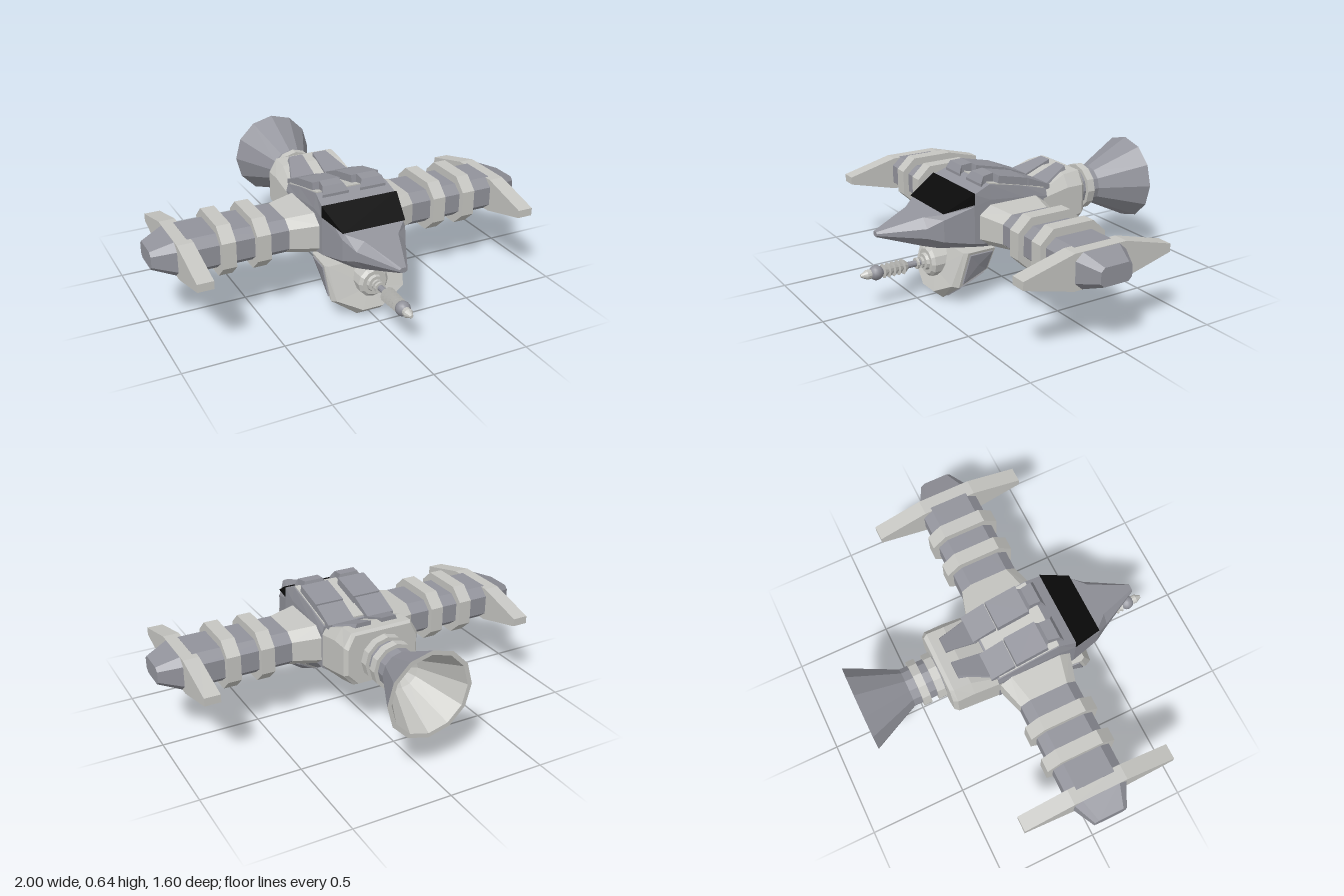
import * as THREE from 'three';

const light = new THREE.MeshStandardMaterial({ color: 0xc6c6c2 });
light.name = 'light grey';
const mid = new THREE.MeshStandardMaterial({ color: 0x92939b });
mid.name = 'mid grey';
const black = new THREE.MeshStandardMaterial({ color: 0x0a0a0a });
black.name = 'black glass';

// Flat-faced skin through rings of points, turned outward (or inward)
function loft(rings, { caps = true, inward = false } = {}) {
  const V = rings.map(r => r.map(p => new THREE.Vector3(...p)));
  const n = V[0].length, tris = [];
  for (let i = 0; i < V.length - 1; i++) {
    for (let j = 0; j < n; j++) {
      const k = (j + 1) % n;
      tris.push([V[i][j], V[i][k], V[i + 1][k]], [V[i][j], V[i + 1][k], V[i + 1][j]]);
    }
  }
  const mean = list => list.reduce((s, p) => s.add(p), new THREE.Vector3()).divideScalar(list.length);
  if (caps) {
    const a = V[0], b = V[V.length - 1], ca = mean(a), cb = mean(b);
    for (let j = 0; j < n; j++) {
      const k = (j + 1) % n;
      tris.push([ca, a[k], a[j]], [cb, b[j], b[k]]);
    }
  }
  const c = mean(V.flat());
  let volume = 0;
  for (const [p, q, r] of tris) {
    volume += p.clone().sub(c).dot(q.clone().sub(c).cross(r.clone().sub(c)));
  }
  if ((volume < 0) !== inward) tris.forEach(t => t.reverse());
  const geo = new THREE.BufferGeometry().setFromPoints(tris.flat());
  geo.computeVertexNormals();
  return geo;
}

// Hull section: top, upper side, lower side and bottom corners
const hullRing = ([z, tw, ty, mw, uy, ly, bw, by]) => [
  [tw, ty, z], [mw, uy, z], [mw, ly, z], [bw, by, z],
  [-bw, by, z], [-mw, ly, z], [-mw, uy, z], [-tw, ty, z]];

// Chamfered rectangle across the wing at a given x
function octagon(x, hz, hy, cz, cy) {
  const Z = 0.06, Y = 0.39;
  return [[hz, hy - cy], [hz - cz, hy], [cz - hz, hy], [-hz, hy - cy],
    [-hz, cy - hy], [cz - hz, -hy], [hz - cz, -hy], [hz, cy - hy]].map(([z, y]) => [x, Y + y, Z + z]);
}

// Round section about a fore-and-aft axis
const circle = (z, r, y, n = 12) => Array.from({ length: n }, (_, i) => {
  const a = i / n * Math.PI * 2;
  return [Math.sin(a) * r, y + Math.cos(a) * r, z];
});

// Side profile of [z, y] points stretched from x0 to x1
const slab = (x0, x1, profile) => loft([x0, x1].map(x => profile.map(([z, y]) => [x, y, z])));

// Thin plate inset on a four-cornered face, raised away from the point ref
function plate(corners, ref, inset = 0.82, lift = 0.007) {
  const P = corners.map(p => new THREE.Vector3(...p));
  const c = P.reduce((s, p) => s.add(p), new THREE.Vector3()).divideScalar(4);
  const nrm = P[2].clone().sub(P[0]).cross(P[3].clone().sub(P[1])).normalize();
  if (nrm.dot(c.clone().sub(new THREE.Vector3(...ref))) < 0) nrm.negate();
  return loft([-0.002, lift].map(h => P.map(p =>
    p.clone().sub(c).multiplyScalar(inset).add(c).addScaledVector(nrm, h).toArray())));
}

export function createModel() {
  const model = new THREE.Group();
  model.name = 'spacecraft';
  const add = (name, geo, mat, parent = model) => {
    const mesh = new THREE.Mesh(geo, mat);
    mesh.name = name;
    parent.add(mesh);
  };

  // Hull, windscreen and rear block
  add('hull', loft([
    [0.71, 0.012, 0.4, 0.02, 0.392, 0.383, 0.012, 0.375],
    [0.5, 0.09, 0.457, 0.13, 0.41, 0.36, 0.08, 0.308],
    [0.43, 0.155, 0.475, 0.168, 0.45, 0.34, 0.11, 0.292],
    [0.28, 0.198, 0.56, 0.2, 0.5, 0.31, 0.14, 0.275],
    [0.19, 0.19, 0.595, 0.2, 0.52, 0.295, 0.15, 0.26],
    [0, 0.19, 0.555, 0.2, 0.5, 0.29, 0.16, 0.25],
    [-0.14, 0.19, 0.515, 0.2, 0.48, 0.29, 0.17, 0.27],
  ].map(hullRing)), mid);
  add('windscreen', loft([-1, 1].map(s => [
    [s * 0.166, 0.482, 0.432], [s * 0.203, 0.567, 0.279], [s * 0.203, 0.51, 0.279]])), black);
  add('rearBlock', loft([
    [-0.12, 0.18, 0.5, 0.2, 0.47, 0.3, 0.17, 0.268],
    [-0.27, 0.16, 0.56, 0.2, 0.5, 0.33, 0.16, 0.28],
    [-0.36, 0.16, 0.568, 0.2, 0.5, 0.35, 0.15, 0.292],
    [-0.38, 0.15, 0.56, 0.185, 0.49, 0.36, 0.13, 0.302],
  ].map(hullRing)), light);
  add('roofPlate', slab(-0.185, 0.185,
    [[0.19, 0.59], [0.19, 0.601], [-0.13, 0.525], [-0.13, 0.51]]), light);

  for (const s of [-1, 1]) {
    // Roof pods
    const pods = new THREE.Group();
    pods.name = s > 0 ? 'leftRoofPods' : 'rightRoofPods';
    model.add(pods);
    add('podCap', loft([[0.225, 0.17, 0.03, 0.595], [0.205, 0.16, 0.05, 0.63], [0.145, 0.15, 0.05, 0.635], [0.135, 0.17, 0.03, 0.6]]
      .map(([z, a, b, y]) => [[s * a, y, z], [s * b, y, z], [s * b, 0.575, z], [s * a, 0.575, z]])), mid, pods);
    add('frontPod', slab(s * 0.03, s * 0.18,
      [[0.14, 0.57], [0.13, 0.625], [-0.035, 0.587], [-0.035, 0.53]]), mid, pods);
    add('middlePod', slab(s * 0.035, s * 0.18,
      [[-0.043, 0.53], [-0.043, 0.583], [-0.17, 0.53], [-0.17, 0.5]]), mid, pods);
    add('rearPod', loft([[-0.15, 0.18, 0.49, 0.524], [-0.315, 0.12, 0.55, 0.586]].map(([z, a, lo, hi]) =>
      [[s * 0.03, lo, z], [s * a, lo, z], [s * (a - 0.015), hi, z], [s * 0.03, hi, z]])), mid, pods);

    // Wing with collars, end plate and tip
    const wing = new THREE.Group();
    wing.name = s > 0 ? 'leftWing' : 'rightWing';
    model.add(wing);
    add('wingRoot', loft([octagon(s * 0.18, 0.197, 0.107, 0.06, 0.045),
      octagon(s * 0.34, 0.15, 0.09, 0.05, 0.04)]), light, wing);
    add('wingBody', loft([octagon(s * 0.33, 0.15, 0.089, 0.05, 0.04),
      octagon(s * 0.83, 0.15, 0.089, 0.05, 0.04)]), mid, wing);
    for (const x of [0.445, 0.62]) {
      add('wingCollar', loft([octagon(s * x, 0.18, 0.13, 0.07, 0.065),
        octagon(s * (x + 0.07), 0.18, 0.13, 0.07, 0.065)]), light, wing);
    }
    add('endPlate', slab(s * 0.81, s * 0.89, [[0.465, 0.41], [0.2, 0.478], [-0.08, 0.478], [-0.34, 0.41],
      [-0.34, 0.37], [-0.08, 0.302], [0.2, 0.302], [0.465, 0.37]]), light, wing);
    add('wingTip', loft([octagon(s * 0.885, 0.14, 0.088, 0.04, 0.035),
      octagon(s, 0.085, 0.045, 0.02, 0.018)]), mid, wing);

    // Belly panels
    add('frontBellyPanel', slab(s * 0.02, s * 0.15,
      [[0.14, 0.265], [0.14, 0.251], [0, 0.243], [0, 0.26]]), mid);
    add('middleBellyPanel', slab(s * 0.02, s * 0.15,
      [[-0.012, 0.26], [-0.012, 0.244], [-0.12, 0.26], [-0.12, 0.275]]), mid);
    add('rearBellyPanel', slab(s * 0.02, s * 0.145,
      [[-0.14, 0.285], [-0.14, 0.264], [-0.32, 0.278], [-0.32, 0.295]]), mid);
  }

  // Engine neck, collars and open bell
  const Y = 0.42;
  add('engineBell', loft([[-0.36, 0.1], [-0.55, 0.1], [-0.8, 0.222]]
    .map(([z, r]) => circle(z, r, Y)), { caps: false }), mid);
  add('bellLining', loft([[-0.8, 0.222], [-0.8, 0.2], [-0.56, 0.085], [-0.5, 0.001]]
    .map(([z, r]) => circle(z, r, Y)), { caps: false, inward: true }), light);
  for (const z of [-0.385, -0.465]) {
    add('engineCollar', loft([circle(z, 0.12, Y), circle(z - 0.042, 0.12, Y)]), light);
  }

  // Chin housing: half outlines mirrored into rings
  const chin = new THREE.Group();
  chin.name = 'chinTurret';
  model.add(chin);
  const mirror = half => [...half, ...half.slice().reverse().map(([x, y, z]) => [-x, y, z])];
  const front = mirror([[0.2, 0.275, 0.345], [0.183, 0.11, 0.405], [0.055, 0.045, 0.435]]);
  const rim = mirror([[0.213, 0.275, 0.325], [0.198, 0.1, 0.372], [0.065, 0.005, 0.388]]);
  const back = mirror([[0.2, 0.27, 0.165], [0.165, 0.15, 0.19], [0.055, 0.07, 0.24]]);
  add('housing', loft([front, rim, back]), light, chin);
  const inside = [0, 0.18, 0.3];
  for (let i = 0; i < 5; i++) {
    add('housingPanel', plate([rim[i], rim[i + 1], back[i + 1], back[i]], inside), mid, chin);
  }
  add('backPanel', plate([back[0], back[1], back[4], back[5]], inside), mid, chin);
  add('lowerBackPanel', plate([back[1], back[2], back[3], back[4]], inside), mid, chin);

  // Gun: stepped mount, ribbed barrel, ball and tip
  const round = pts => loft(pts.map(([z, r]) => circle(z, r, 0.19)));
  add('gunMount', round([[0.34, 0.08], [0.43, 0.08], [0.445, 0.065], [0.445, 0.045], [0.46, 0.04]]), light, chin);
  add('barrel', round([[0.44, 0.016], [0.7, 0.016]]), mid, chin);
  for (const z of [0.465, 0.49]) add('barrelRing', round([[z, 0.028], [z + 0.012, 0.028]]), light, chin);
  for (let i = 0; i < 5; i++) {
    const z = 0.55 + i * 0.026;
    add('barrelCone', round([[z, 0.02], [z + 0.024, 0.04 - i * 0.001], [z + 0.026, 0.018]]), light, chin);
  }
  const ball = new THREE.SphereGeometry(0.037, 12, 8);
  ball.translate(0, 0.19, 0.715);
  add('ball', ball, mid, chin);
  add('gunTip', round([[0.735, 0.022], [0.765, 0.024], [0.795, 0.008]]), light, chin);
  return model;
}
